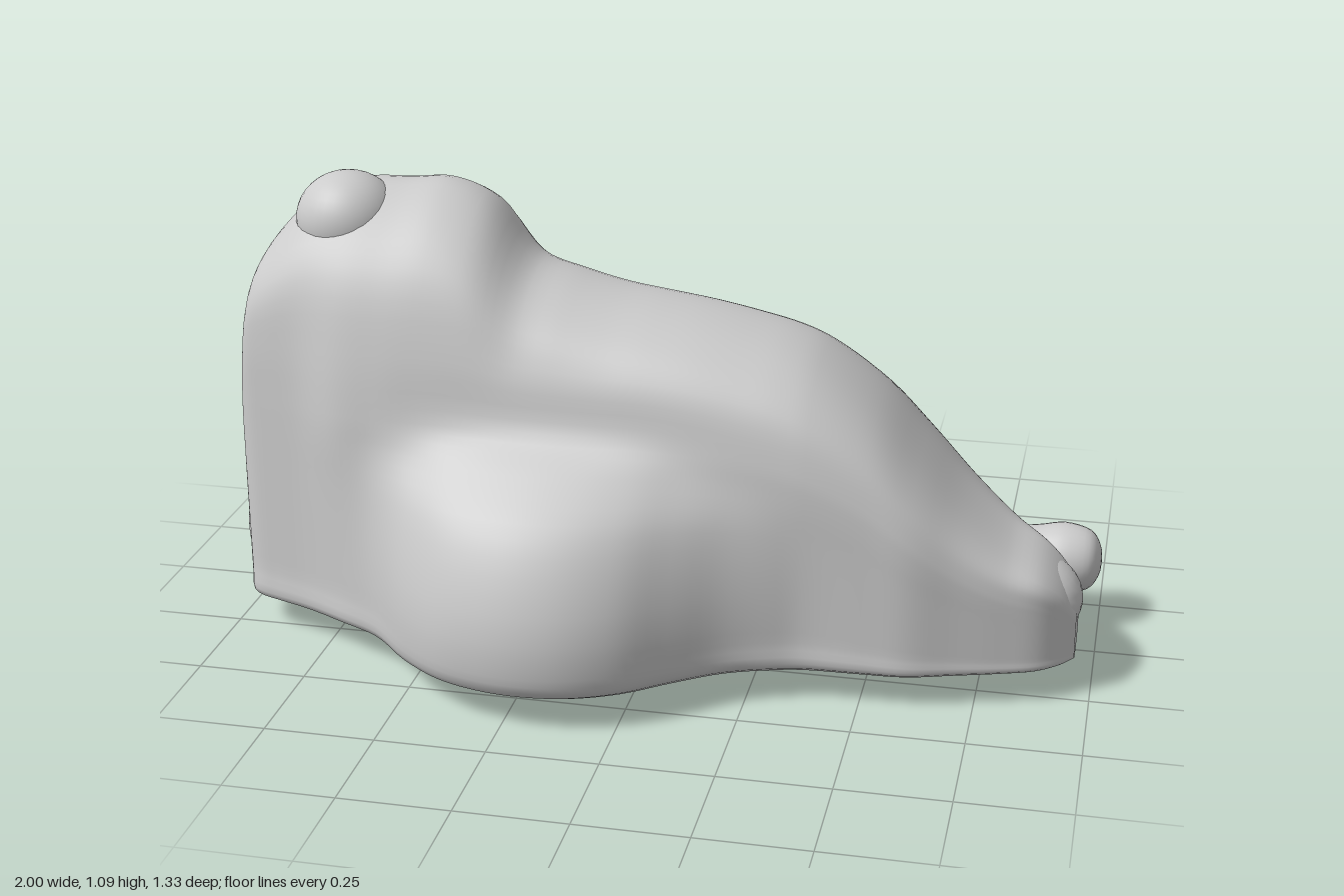
import * as THREE from 'three';

const material = new THREE.MeshStandardMaterial({ color: 0xcccccc });
const EDGE = 0.08; // height of the rim above the shallow curved underside

// Stations along x: [x, back edge z, front wall z, front bulge depth, ridge height]
const stations = [
  [-0.98, -0.29, 0.2, 0, 0.28], [-0.97, -0.32, 0.225, 0, 0.5],
  [-0.955, -0.35, 0.25, 0, 0.74], [-0.93, -0.38, 0.27, 0, 0.88],
  [-0.88, -0.41, 0.29, 0, 0.95], [-0.8, -0.47, 0.32, 0, 1.02],
  [-0.7, -0.6, 0.37, 0, 1.05], [-0.6, -0.645, 0.38, 0.05, 1.055],
  [-0.5, -0.655, 0.38, 0.16, 1.06], [-0.4, -0.66, 0.38, 0.235, 1.02],
  [-0.3, -0.665, 0.38, 0.27, 0.9], [-0.2, -0.665, 0.38, 0.28, 0.865],
  [-0.1, -0.665, 0.38, 0.265, 0.84], [0, -0.665, 0.38, 0.22, 0.825],
  [0.1, -0.66, 0.38, 0.14, 0.81], [0.2, -0.65, 0.38, 0.065, 0.79],
  [0.3, -0.61, 0.38, 0.02, 0.765], [0.37, -0.55, 0.38, 0, 0.735],
  [0.5, -0.53, 0.375, 0, 0.64], [0.6, -0.48, 0.37, 0, 0.53],
  [0.7, -0.3, 0.34, 0, 0.42], [0.8, -0.15, 0.31, 0, 0.34],
  [0.88, -0.02, 0.28, 0, 0.3], [0.93, 0.02, 0.24, 0, 0.25],
  [0.96, 0.06, 0.2, 0, 0.19],
];

// Cross-section from front rim over the ridge to back rim:
// [z, height on the body, height on the head, share of the front bulge]
const profile = [
  [0.38, 0.08, 0.08, 0.93], [0.38, 0.15, 0.15, 1], [0.38, 0.27, 0.27, 0.95],
  [0.38, 0.42, 0.42, 0.7], [0.38, 0.52, 0.52, 0.3], [0.375, 0.59, 0.59, 0.02],
  [0.35, 0.69, 0.73, 0], [0.3, 0.755, 0.89, 0], [0.22, 0.8, 0.99, 0],
  [0.1, 0.82, 1.06, 0], [0, 0.81, 1.05, 0], [-0.09, 0.765, 0.93, 0],
  [-0.17, 0.7, 0.71, 0], [-0.3, 0.59, 0.59, 0], [-0.42, 0.455, 0.455, 0],
  [-0.53, 0.375, 0.375, 0], [-0.63, 0.22, 0.22, 0], [-0.665, 0.12, 0.12, 0],
  [-0.65, 0.08, 0.08, 0],
];

// Move z inwards near the rim while leaving the ridge in place
function narrow(z, back, front) {
  const [reach, shift] = z < 0.1 ? [0.765, back + 0.665] : [0.28, front - 0.38];
  const power = THREE.MathUtils.clamp(reach / Math.abs(shift), 1, 3);
  return z + shift * (Math.abs(z - 0.1) / reach) ** power;
}

// One closed cross-section, including the underside
function crossSection([x, back, front, bulge, height], count) {
  const s = Math.min(1, (height - EDGE) / 0.74);
  const k = Math.max(0, (height - 0.82) / 0.24);
  const points = profile.map(([z, body, head, share]) => new THREE.Vector3(
    x,
    EDGE + (body - EDGE) * s + (head - body) * k,
    narrow(z, back, front) + share ** (2 - bulge / 0.28) * bulge,
  ));
  const low = 0.07 * x ** 4;
  for (const t of [-0.7, -0.35, 0, 0.35, 0.7]) {
    const z = THREE.MathUtils.lerp(back, front + bulge, (t + 1) / 2);
    points.push(new THREE.Vector3(x, low + (EDGE - low) * t * t, z));
  }
  const curve = new THREE.CatmullRomCurve3(points, true);
  return Array.from({ length: count }, (_, j) => curve.getPoint(j / count));
}

// Skin smooth curves through the cross-sections and close both ends
function bodyGeometry() {
  const around = 96, along = 120;
  const sections = stations.map((s) => crossSection(s, around));
  const curves = Array.from({ length: around }, (_, j) =>
    new THREE.CatmullRomCurve3(sections.map((ring) => ring[j])));
  const rings = Array.from({ length: along + 1 }, (_, i) =>
    curves.map((c) => c.getPoint(i / along)));
  const capRing = (ring) => {
    const centre = ring.reduce((a, p) => a.add(p), new THREE.Vector3()).divideScalar(around);
    return ring.map(() => centre);
  };
  rings.unshift(capRing(rings[0]));
  rings.push(capRing(rings[rings.length - 1]));

  const index = [];
  for (let i = 0; i < rings.length - 1; i++) {
    for (let j = 0; j < around; j++) {
      const a = i * around + j, c = i * around + ((j + 1) % around);
      index.push(a, a + around, c, c, a + around, c + around);
    }
  }
  const geometry = new THREE.BufferGeometry().setFromPoints(rings.flat());
  geometry.setIndex(index);
  geometry.computeVertexNormals();
  return geometry;
}

function add(group, name, geometry) {
  const mesh = new THREE.Mesh(geometry, material);
  mesh.name = name;
  group.add(mesh);
  return mesh;
}

// Rounded lump given by its centre and radii
function lump(group, name, centre, radii) {
  const mesh = add(group, name, new THREE.SphereGeometry(1, 32, 20));
  mesh.position.set(...centre);
  mesh.scale.set(...radii);
}

export function createModel() {
  const group = new THREE.Group();
  group.name = 'moundCreature';
  add(group, 'body', bodyGeometry());

  // Knob on top of the head
  lump(group, 'headKnob', [-0.725, 0.975, 0.12], [0.12, 0.11, 0.115]);

  // Small feet at the upright end
  lump(group, 'rearFoot', [-0.91, 0.2, -0.22], [0.09, 0.13, 0.12]);
  lump(group, 'frontFoot', [-0.91, 0.22, 0.13], [0.09, 0.15, 0.12]);

  // Low swellings along the back slope
  lump(group, 'backSwelling', [-0.3, 0.23, -0.47], [0.2, 0.185, 0.14]);
  lump(group, 'backSwelling', [0.14, 0.22, -0.48], [0.19, 0.17, 0.135]);

  // Rounded paw filling out the low end
  lump(group, 'paw', [0.84, 0.19, 0.13], [0.13, 0.1, 0.145]);

  // Stubby tail: a short neck swelling to a round tip
  const tailProfile = new THREE.SplineCurve([
    [0.1, 0], [0.08, 0.08], [0.068, 0.14], [0.074, 0.2], [0.084, 0.26],
    [0.07, 0.32], [0.035, 0.345], [0, 0.35],
  ].map(([r, h]) => new THREE.Vector2(r, h)));
  const tail = add(group, 'tail', new THREE.LatheGeometry(tailProfile.getPoints(28), 28));
  tail.position.set(0.65, 0.16, -0.16);
  tail.rotation.z = -Math.PI / 2;

  // Little spur at the back corner
  lump(group, 'spur', [0.55, 0.115, -0.49], [0.06, 0.035, 0.07]);
  return group;
}
